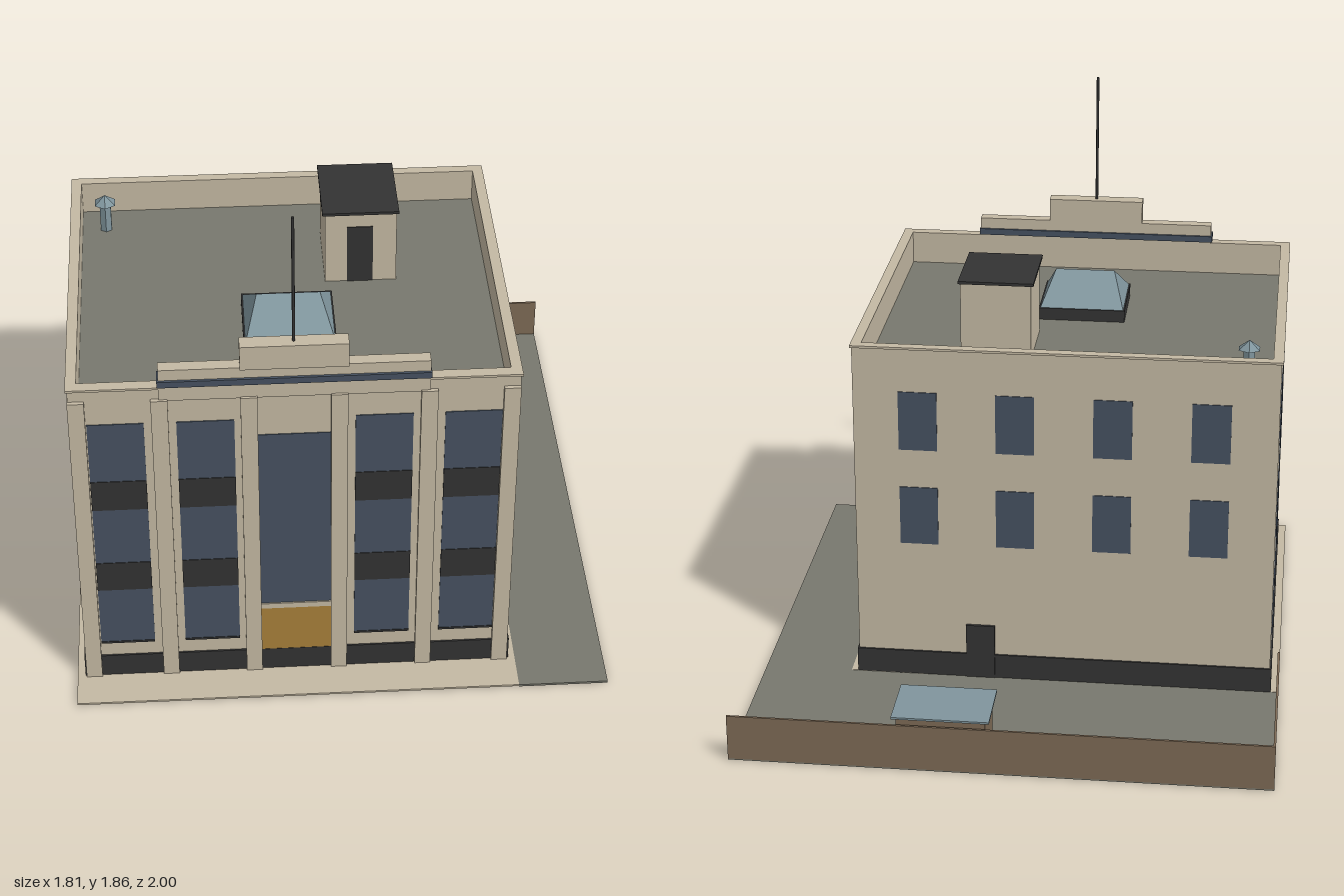
import * as THREE from 'three';

const mat = (name, color) => {
  const m = new THREE.MeshStandardMaterial({ color });
  m.name = name;
  return m;
};

export function createModel() {
  const stone = mat('stone', 0xc4b9a3);
  const pane = mat('window blue', 0x465160);
  const dark = mat('charcoal', 0x333333);
  const gold = mat('brass', 0xa8803a);
  const brick = mat('brown brick', 0x7d6a55);
  const asphalt = mat('asphalt', 0x78786e);
  const glass = mat('pale glass', 0x80959d);
  const model = new THREE.Group();
  model.name = 'officeBuilding';

  const add = (name, geometry, material) => {
    const m = new THREE.Mesh(geometry, material);
    m.name = name;
    model.add(m);
    return m;
  };
  // Box given by its extents on each axis
  const box = (name, material, x0, x1, y0, y1, z0, z1) => {
    const m = add(name, new THREE.BoxGeometry(x1 - x0, y1 - y0, z1 - z0), material);
    m.position.set((x0 + x1) / 2, (y0 + y1) / 2, (z0 + z1) / 2);
    return m;
  };
  // Rectangular ring lying flat, from y0 to y1
  const ring = (name, material, [ax, bx, az, bz], [cx, dx, cz, dz], y0, y1) => {
    const rect = (C, x0, x1, z0, z1) => {
      const s = new C();
      s.moveTo(x0, -z1).lineTo(x1, -z1).lineTo(x1, -z0).lineTo(x0, -z0).closePath();
      return s;
    };
    const shape = rect(THREE.Shape, ax, bx, az, bz);
    shape.holes.push(rect(THREE.Path, cx, dx, cz, dz));
    const g = new THREE.ExtrudeGeometry(shape, { depth: y1 - y0, bevelEnabled: false });
    add(name, g.rotateX(-Math.PI / 2).translate(0, y0, 0), material);
  };

  // Ground
  box('rearYard', asphalt, -0.905, 0.905, 0, 0.008, -1, -0.36);
  box('sideYard', asphalt, 0.6, 0.905, 0, 0.008, -0.36, 1);
  box('pavement', stone, -0.905, 0.6, 0.002, 0.009, -0.36, 1);

  // Main block, plinth and roof
  const X0 = -0.872, X1 = 0.571, Z0 = -0.353, Z1 = 0.859, ROOF = 1.12;
  box('plinth', dark, -0.878, 0.577, 0, 0.097, -0.36, 0.865);
  box('mainBlock', stone, X0, X1, 0.097, ROOF, Z0, Z1);
  box('roofDeck', asphalt, -0.845, 0.543, ROOF, ROOF + 0.004, -0.325, 0.825);
  const inner = [-0.843, 0.541, -0.324, 0.824];
  ring('parapet', stone, [X0, X1, Z0, Z1], inner, ROOF, 1.234);
  ring('coping', stone, [X0 - 0.006, X1 + 0.006, Z0 - 0.006, Z1 + 0.004], inner, 1.234, 1.242);

  // Front columns
  for (const x of [-0.847, -0.583, -0.298, -0.009, 0.279, 0.544])
    box('frontColumn', stone, x - 0.027, x + 0.027, 0.008, 1.195, 0.83, 0.873);

  // Front window bays with dark spandrels
  for (const [a, b] of [[-0.817, -0.635], [-0.531, -0.346], [0.043, 0.229], [0.332, 0.516]]) {
    box('bayWindow', pane, a, b, 0.16, 1.1, 0.856, 0.862);
    box('baySill', dark, a, b, 0.153, 0.161, 0.856, 0.864);
    for (const y of [0.395, 0.745])
      box('spandrel', dark, a, b, y, y + 0.12, 0.856, 0.864);
  }
  // Entrance bay
  box('entranceWindow', pane, -0.271, -0.036, 0.305, 1.035, 0.856, 0.862);
  box('entranceLintel', stone, -0.271, -0.036, 0.286, 0.307, 0.856, 0.867);
  box('entranceDoor', gold, -0.271, -0.036, 0.097, 0.286, 0.856, 0.864);

  // Side and rear windows
  const floors = [[0.145, 0.36], [0.515, 0.728], [0.867, 1.08]];
  floors.forEach(([y0, y1], i) => {
    for (const z of [0.613, 0.254, -0.106])
      for (const x of [X0, X1])
        box('sideWindow', pane, x - 0.003, x + 0.003, y0, y1, z - 0.073, z + 0.073);
    if (i > 0)
      for (const x of [0.35, 0.018, -0.314, -0.646])
        box('rearWindow', pane, x - 0.066, x + 0.066, y0, y1, Z0 - 0.003, Z0 + 0.003);
  });
  box('rearDoor', dark, 0.09, 0.19, 0.008, 0.21, -0.363, -0.35);

  // Stepped crest over the entrance, with mast
  box('crestBase', stone, -0.583, 0.281, 1.19, 1.245, 0.82, 0.864);
  box('crestStripe', pane, -0.588, 0.284, 1.247, 1.27, 0.812, 0.872);
  box('crestStep', stone, -0.583, 0.281, 1.242, 1.31, 0.82, 0.863);
  box('crestTop', stone, -0.325, 0.021, 1.305, 1.394, 0.815, 0.87);
  add('mast', new THREE.CylinderGeometry(0.005, 0.005, 0.47, 8), dark).position.set(-0.153, 1.625, 0.842);

  // Stair house
  box('stairHouse', stone, -0.012, 0.23, ROOF, 1.396, -0.13, 0.152);
  box('stairHouseRoof', dark, -0.022, 0.237, 1.396, 1.406, -0.142, 0.16);
  box('stairHouseDoor', dark, 0.062, 0.15, ROOF, 1.345, 0.148, 0.155);

  // Skylight: hipped glass made by pulling a box's top edges to a ridge
  box('skylightCurb', dark, -0.303, 0.003, ROOF, 1.167, 0.267, 0.553);
  const hip = new THREE.BoxGeometry(0.296, 0.1, 0.276).toNonIndexed();
  const p = hip.attributes.position;
  for (let i = 0; i < p.count; i++)
    if (p.getY(i) > 0) p.setXYZ(i, Math.sign(p.getX(i)) * 0.105, 0.05, 0);
  hip.computeVertexNormals();
  add('skylightGlass', hip, glass).position.set(-0.15, 1.217, 0.41);

  // Roof vent
  const flat = (r0, r1, h) => {
    const g = new THREE.CylinderGeometry(r0, r1, h, 6).toNonIndexed();
    g.computeVertexNormals();
    return g;
  };
  add('ventPipe', flat(0.022, 0.022, 0.12), glass).position.set(-0.76, 1.18, -0.215);
  add('ventCap', flat(0, 0.041, 0.032), glass).position.set(-0.76, 1.248, -0.215);

  // Yard walls, shelter and crate
  box('rearWall', brick, -0.905, 0.905, 0.004, 0.164, -1, -0.992);
  box('yardSideWall', brick, -0.905, -0.897, 0.004, 0.164, -0.992, -0.355);
  box('shelter', brick, 0.045, 0.34, 0.004, 0.186, -0.985, -0.79);
  box('shelterRoof', glass, 0.03, 0.355, 0.186, 0.193, -0.998, -0.775);
  box('crate', brick, 0.37, 0.463, 0.004, 0.09, -0.965, -0.87);

  return model;
}
